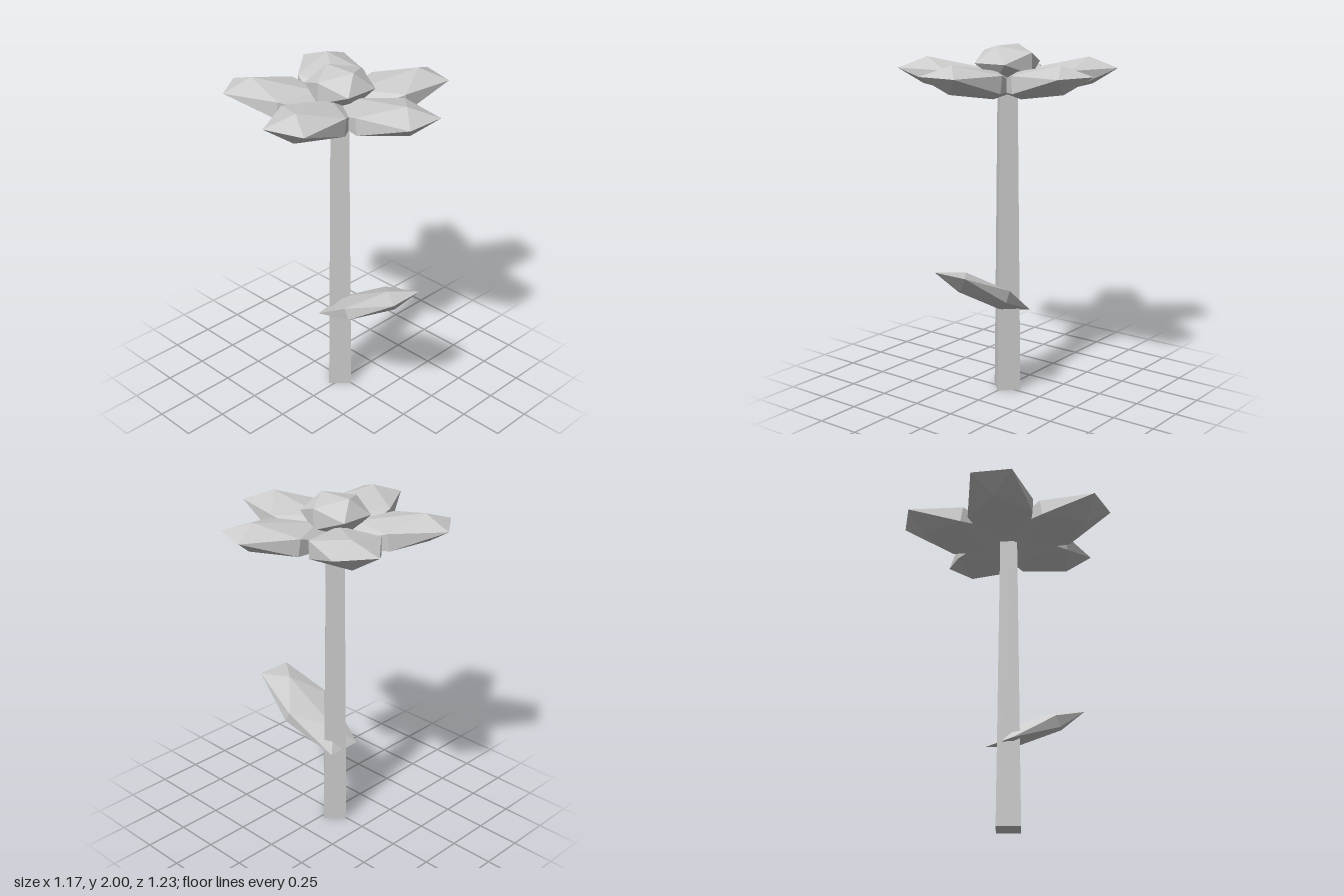
import * as THREE from 'three';

const AXIS_X = -0.025; // the stem stands slightly off centre
const PETALS = 5;

export function createModel() {
  const flower = new THREE.Group();
  flower.name = 'flower';
  const grey = new THREE.MeshStandardMaterial({ color: 0xcccccc, flatShading: true });
  grey.name = 'plain grey';

  // Every organic part is a stretched, tilted icosahedron
  const gem = new THREE.IcosahedronGeometry(1, 0);
  function addGem(parent, name, scale, position, tilt = 0) {
    const mesh = new THREE.Mesh(gem, grey);
    mesh.name = name;
    mesh.scale.set(...scale);
    mesh.position.set(...position);
    mesh.rotation.z = tilt;
    parent.add(mesh);
  }

  // Square tapered stem, corners facing the axes
  const stem = new THREE.Mesh(new THREE.CylinderGeometry(0.07, 0.095, 1.8, 4), grey);
  stem.name = 'stem';
  stem.position.set(AXIS_X, 0.9, 0);
  flower.add(stem);

  // Leaf rising to the left side
  addGem(flower, 'leaf', [0.397, 0.065, 0.2], [0.197, 0.635, 0], 0.494);

  // Flower head: centre and a ring of upward-tilted petals
  const head = new THREE.Group();
  head.name = 'flowerHead';
  head.position.x = AXIS_X;
  flower.add(head);
  addGem(head, 'flowerCentre', [0.194, 0.112, 0.194], [0, 1.905, 0]);
  for (let i = 0; i < PETALS; i++) {
    const arm = new THREE.Group();
    arm.name = `petalArm${i + 1}`;
    arm.rotation.y = (i / PETALS) * Math.PI * 2;
    addGem(arm, `petal${i + 1}`, [0.364, 0.091, 0.222], [0.305, 1.817, 0], 0.157);
    head.add(arm);
  }

  return flower;
}
